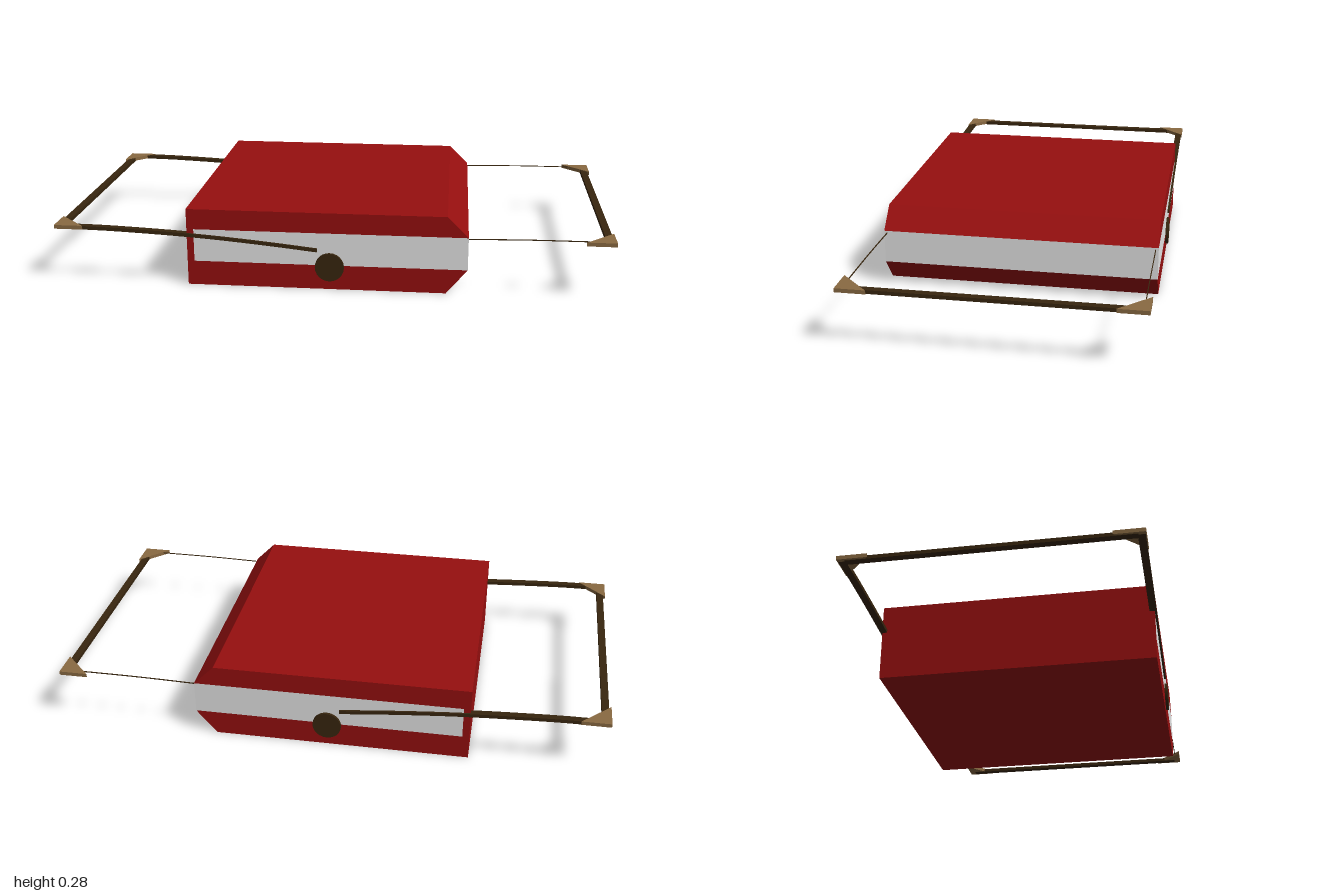
import * as THREE from 'three';

const mat = (name, color) => Object.assign(new THREE.MeshStandardMaterial({ color }), { name });

export function createModel() {
  const red = mat('red cover', 0x960f0f);
  const white = mat('white band', 0xf2f2f2);
  const dark = mat('dark wood', 0x38260f);
  const tan = mat('tan corner', 0x8a6a42);
  const model = new THREE.Group();
  model.name = 'boxWithFrame';

  const add = (name, geometry, material) => {
    const mesh = new THREE.Mesh(geometry, material);
    mesh.name = name;
    model.add(mesh);
    return mesh;
  };
  // Extrude an x-y outline between two z values
  const slab = (points, z0, z1) => {
    const shape = new THREE.Shape(points.map(([x, y]) => new THREE.Vector2(x, y)));
    return new THREE.ExtrudeGeometry(shape, { depth: z1 - z0, bevelEnabled: false }).translate(0, 0, z0);
  };
  // Outline of a strip of constant height following a curve
  const strip = (points, height) => {
    const line = new THREE.SplineCurve(points.map(([x, y]) => new THREE.Vector2(x, y))).getPoints(16);
    return [
      ...line.map(p => [p.x, p.y - height / 2]),
      ...line.reverse().map(p => [p.x, p.y + height / 2]),
    ];
  };

  // Body: red shell with bevelled right edges around a white band
  const W = 0.495;
  add('lowerCover', slab([[-0.515, 0], [0.415, 0], [0.49, 0.09], [-0.515, 0.09]], -W, W), red);
  add('upperCover', slab([[-0.515, 0.21], [0.49, 0.21], [0.415, 0.285], [-0.515, 0.285]], -W, W), red);
  add('spine', slab([[-0.515, 0.09], [-0.49, 0.09], [-0.49, 0.21], [-0.515, 0.21]], -W, W), red);
  add('band', slab([[-0.49, 0.09], [0.49, 0.09], [0.49, 0.21], [-0.49, 0.21]], -W, W), white);

  // Parts on the front and back sides
  const armPath = [[-0.985, 0.204], [-0.8, 0.202], [-0.5, 0.188], [-0.25, 0.168], [-0.045, 0.147]];
  const cordPath = [[0.485, 0.202], [0.7, 0.207], [0.92, 0.208]];
  for (const s of [1, -1]) {
    const side = s > 0 ? 'front' : 'back';
    const range = (a, b) => (s > 0 ? [a, b] : [-b, -a]);
    add(side + 'Arm', slab(strip(armPath, 0.013), ...range(0.477, 0.502)), dark);
    add(side + 'Cord', slab(strip(cordPath, 0.003), ...range(0.483, 0.486)), dark);

    const hub = new THREE.CylinderGeometry(0.052, 0.052, 0.02, 24).rotateX(Math.PI / 2);
    add(side + 'Hub', hub, dark).position.set(0, 0.085, s * 0.495);

    // Triangular corner pieces
    for (const e of [1, -1]) {
      const shape = new THREE.Shape([
        new THREE.Vector2(e, s * 0.505),
        new THREE.Vector2(e * 0.895, s * 0.505),
        new THREE.Vector2(e, s * 0.4),
      ]);
      const corner = new THREE.ExtrudeGeometry(shape, { depth: 0.014, bevelEnabled: false });
      corner.rotateX(Math.PI / 2).translate(0, 0.212, 0);
      add(side + (e > 0 ? 'Left' : 'Right') + 'Corner', corner, tan);
    }
  }

  // Cross bars at both ends
  for (const e of [1, -1]) {
    const bar = new THREE.BoxGeometry(0.026, 0.013, 0.96);
    add(e > 0 ? 'leftBar' : 'rightBar', bar, dark).position.set(e * 0.979, 0.203, 0);
  }
  return model;
}
